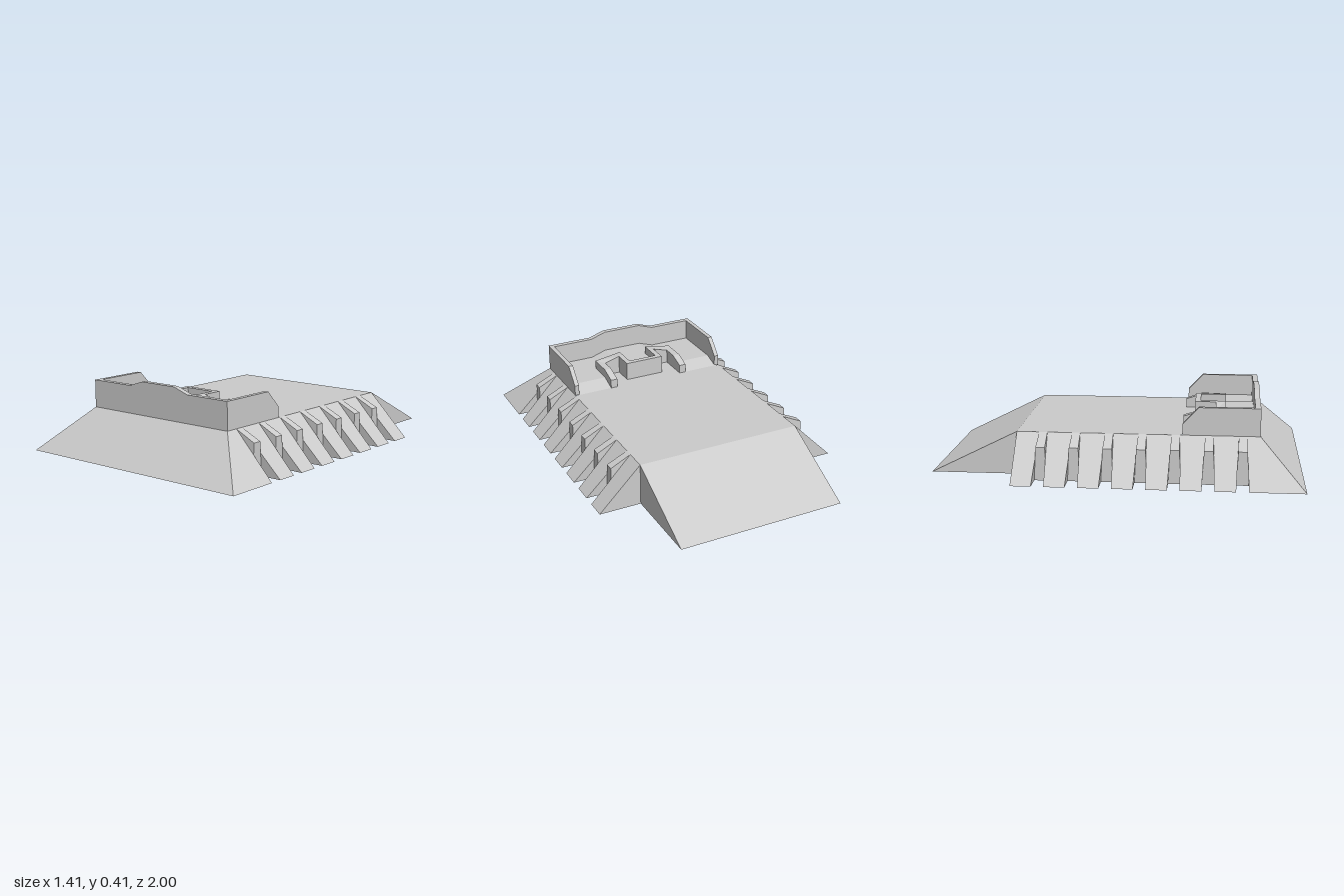
import * as THREE from 'three';

const TOP = 0.235, HALF = 0.47, FOOT = 0.705;   // deck height, deck half width, foot half width
const BACK = -0.53, FRONT = 0.765;              // ends of the flat deck
const FIN = 0.585, FIN_TOP = 0.18;              // ribs standing between the buttresses
const FLOOR = 0.265, STEP = 0.295;              // raised floor and its firing step

const material = new THREE.MeshStandardMaterial({
  color: 0xcccccc, flatShading: true, side: THREE.DoubleSide,
});

// Flat panels: each is [corners, outward direction (optional)].
function panels(name, list) {
  const pos = [];
  for (const [corners, dir] of list) {
    let p = corners.map((c) => new THREE.Vector3(...c));
    if (dir) {
      const n = p[1].clone().sub(p[0]).cross(p[2].clone().sub(p[0]));
      if (n.dot(new THREE.Vector3(...dir)) < 0) p.reverse();
    }
    for (let i = 1; i < p.length - 1; i++) {
      for (const v of [p[0], p[i], p[i + 1]]) pos.push(v.x, v.y, v.z);
    }
  }
  const g = new THREE.BufferGeometry();
  g.setAttribute('position', new THREE.Float32BufferAttribute(pos, 3));
  g.computeVertexNormals();
  const mesh = new THREE.Mesh(g, material);
  mesh.name = name;
  return mesh;
}

// Mirrored wall. Each half-path entry: [outer x, outer z, inner x, inner z, top y].
function wall(name, half) {
  const path = [...half, ...half.slice().reverse().map(([a, b, c, d, y]) => [-a, b, -c, d, y])];
  const sections = path.map(([ax, az, bx, bz, y]) => [
    [ax, TOP, az], [ax, y, az], [bx, y, bz], [bx, TOP, bz],
  ]);
  const list = [[sections[0].slice().reverse()], [sections[sections.length - 1]]];
  for (let i = 0; i < sections.length - 1; i++) {
    const s = sections[i], t = sections[i + 1];
    for (let k = 0; k < 4; k++) {
      const n = (k + 1) % 4;
      list.push([[s[k], s[n], t[n], t[k]]]);
    }
  }
  return panels(name, list);
}

// One flank: sloping buttresses with ribs in the gaps between them.
function flank(name, m) {
  const list = [];
  const out = [m, 1, 0];
  const gapHalf = (y) => 0.033 - 0.011 * (y / TOP);
  const gaps = Array.from({ length: 7 }, (_, i) => 0.6735 - 0.1767 * i);

  // buttress slopes, from front to back
  for (let i = 0; i <= gaps.length; i++) {
    const zf = (y) => (i === 0 ? (y ? FRONT : 1) : gaps[i - 1] - gapHalf(y));
    const zb = (y) => (i === gaps.length ? BACK : gaps[i] + gapHalf(y));
    list.push([[
      [m * HALF, TOP, zf(TOP)], [m * FOOT, 0, zf(0)],
      [m * FOOT, 0, zb(0)], [m * HALF, TOP, zb(TOP)],
    ], out]);
  }

  // ribs and the side faces of each gap
  const cross = HALF + TOP - FIN;               // slope height at the rib face
  for (const z of gaps) {
    const at = (x, y, s) => [m * x, y, z + s * gapHalf(y)];
    list.push([[at(HALF, TOP, 1), at(FIN, FIN_TOP, 1), at(FIN, FIN_TOP, -1), at(HALF, TOP, -1)], out]);
    list.push([[at(FIN, FIN_TOP, 1), at(FIN, 0, 1), at(FIN, 0, -1), at(FIN, FIN_TOP, -1)], [m, 0, 0]]);
    for (const s of [1, -1]) {
      list.push([[at(HALF, TOP, s), at(FIN, FIN_TOP, s), at(FIN, cross, s)], [0, 0, s]]);
      list.push([[at(FIN, cross, s), at(FIN, 0, s), at(FOOT, 0, s)], [0, 0, -s]]);
    }
  }

  // back end of the flank
  list.push([[[m * HALF, TOP, BACK], [m * FOOT, 0, BACK], [m * HALF, 0, BACK]], [0, 0, -1]]);
  return panels(name, list);
}

export function createModel() {
  const group = new THREE.Group();
  const up = [0, 1, 0];

  // flat deck, cut away beneath the raised floor
  const outline = [
    [-HALF, BACK], [HALF, BACK], [HALF, 0.35], [0.205, 0.35], [0.205, 0.525], [0.115, 0.525],
    [0.115, 0.41], [-0.115, 0.41], [-0.115, 0.525], [-0.205, 0.525], [-0.205, 0.35], [-HALF, 0.35],
  ];
  const deckShape = new THREE.Shape(outline.map(([x, z]) => new THREE.Vector2(x, -z)));
  const deck = new THREE.Mesh(new THREE.ShapeGeometry(deckShape).rotateX(-Math.PI / 2), material);
  deck.position.y = TOP;
  deck.name = 'deck';
  group.add(deck);

  // front slope
  group.add(panels('frontSlope', [[[
    [-HALF, TOP, FRONT], [-FOOT, 0, 1], [FOOT, 0, 1], [HALF, TOP, FRONT],
  ], [0, 1, 1]]]));

  // back ramp with its two triangular cheeks
  const ramp = [[[
    [-HALF, TOP, BACK], [HALF, TOP, BACK], [HALF, 0, -1], [-HALF, 0, -1],
  ], up]];
  for (const m of [1, -1]) {
    ramp.push([[[m * HALF, TOP, BACK], [m * HALF, 0, BACK], [m * HALF, 0, -1]], [m, 0, 0]]);
  }
  group.add(panels('backRamp', ramp));

  group.add(flank('leftFlank', 1), flank('rightFlank', -1));

  // raised floor: entry ramps, side floors, slopes up to the central firing step
  const floor = [[[
    [-0.115, STEP, 0.41], [-0.115, STEP, 0.75], [0.115, STEP, 0.75], [0.115, STEP, 0.41],
  ], up]];
  for (const m of [1, -1]) {
    const strip = (x0, y0, x1, y1, z0, z1) => floor.push([[
      [m * x0, y0, z0], [m * x0, y0, z1], [m * x1, y1, z1], [m * x1, y1, z0],
    ], up]);
    strip(0.205, FLOOR, 0.455, FLOOR, 0.44, 0.75);
    strip(0.115, STEP, 0.205, FLOOR, 0.525, 0.75);
    floor.push([[
      [m * 0.205, TOP, 0.35], [m * 0.455, TOP, 0.35], [m * 0.455, FLOOR, 0.44], [m * 0.205, FLOOR, 0.44],
    ], up]);
  }
  group.add(panels('raisedFloor', floor));

  // outer parapet, raised in the middle of the front
  group.add(wall('parapet', [
    [HALF, 0.355, 0.445, 0.355, 0.295],
    [HALF, 0.44, 0.445, 0.44, 0.385],
    [HALF, FRONT, 0.445, 0.735, 0.385],
    [0.205, FRONT, 0.205, 0.735, 0.385],
    [0.115, FRONT, 0.115, 0.735, 0.415],
  ]));

  // low stepped wall along the back of the raised floor
  group.add(wall('innerWall', [
    [0.245, 0.35, 0.205, 0.35, 0.285],
    [0.245, 0.44, 0.205, 0.44, 0.315],
    [0.245, 0.58, 0.205, 0.525, 0.315],
    [0.085, 0.58, 0.115, 0.525, 0.34],
    [0.085, 0.44, 0.115, 0.41, 0.34],
  ]));

  return group;
}
